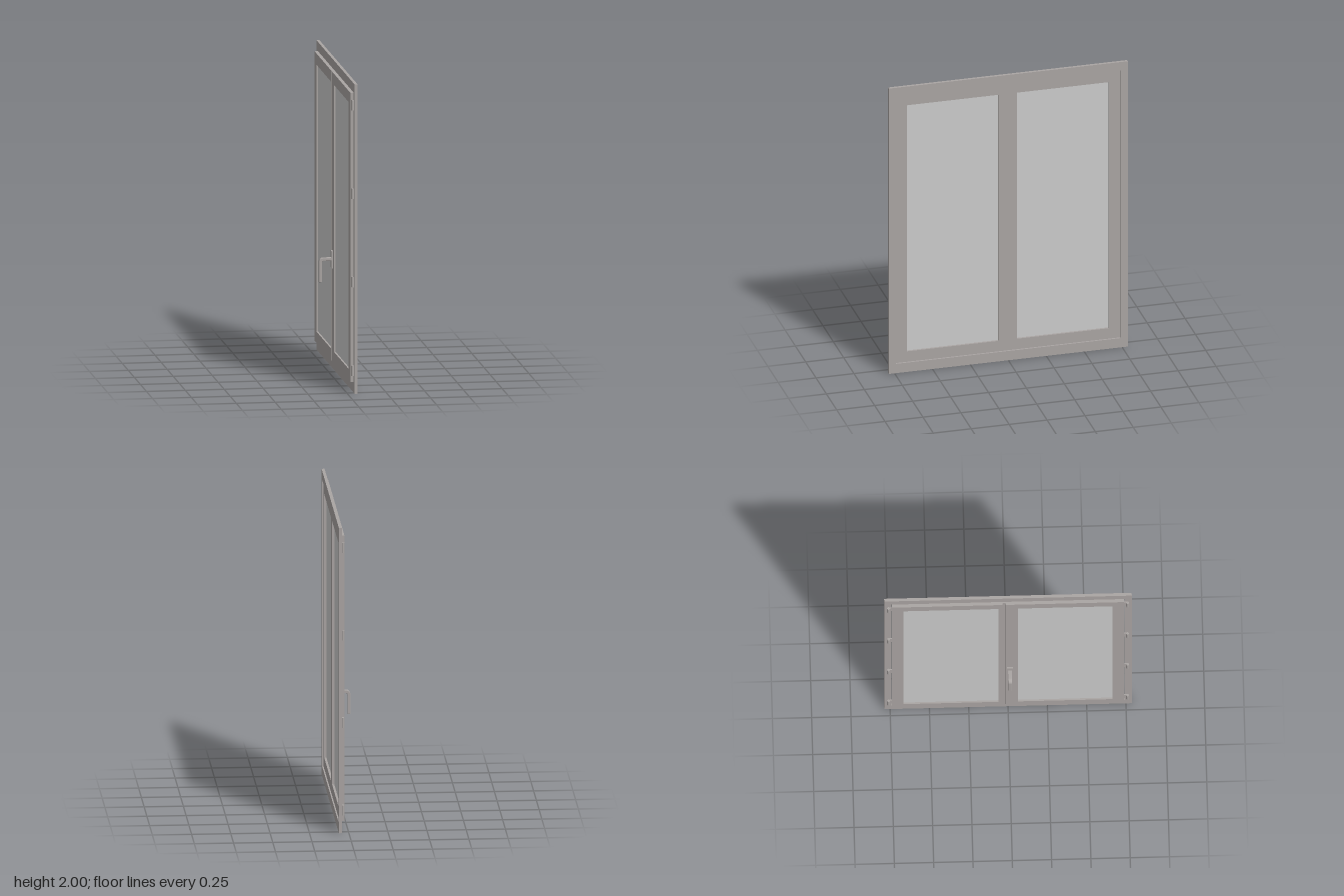
import * as THREE from 'three';

export function createModel() {
  const model = new THREE.Group();
  const frameMat = new THREE.MeshStandardMaterial({ color: 0xaaa5a3 });
  const glassMat = new THREE.MeshStandardMaterial({ color: 0xcccccc });

  function add(name, geometry, material = frameMat) {
    const mesh = new THREE.Mesh(geometry, material);
    mesh.name = name;
    model.add(mesh);
    return mesh;
  }

  // Box given by its limits on each axis
  function block(name, x0, x1, y0, y1, z0, z1, material) {
    const g = new THREE.BoxGeometry(x1 - x0, y1 - y0, z1 - z0);
    return add(name, g.translate((x0 + x1) / 2, (y0 + y1) / 2, (z0 + z1) / 2), material);
  }

  function trace(path, z0, z1, y0, y1) {
    path.moveTo(z0, y0).lineTo(z1, y0).lineTo(z1, y1).lineTo(z0, y1).closePath();
    return path;
  }

  // Rectangular ring in the zy plane, [z0, z1, y0, y1] outside and inside
  function ring(name, outer, inner, x0, x1) {
    const shape = trace(new THREE.Shape(), ...outer);
    shape.holes.push(trace(new THREE.Path(), ...inner));
    const g = new THREE.ExtrudeGeometry(shape, { depth: x1 - x0, bevelEnabled: false });
    return add(name, g.rotateY(-Math.PI / 2).translate(x1, 0, 0));
  }

  // Fixed outer frame
  ring('outerFrame', [-0.787, 0.787, 0, 2], [-0.74, 0.74, 0.065, 1.94], 0.045, 0.064);

  // Two sashes with their panes
  const glassY = [0.14, 1.865];
  ring('leftSash', [-0.018, 0.738, 0.067, 1.938], [0.063, 0.665, ...glassY], 0.025, 0.056);
  ring('rightSash', [-0.738, -0.035, 0.067, 1.938], [-0.665, -0.06, ...glassY], 0.025, 0.056);
  block('leftPane', 0.036, 0.042, ...glassY, 0.063, 0.665, glassMat);
  block('rightPane', 0.036, 0.042, ...glassY, -0.665, -0.06, glassMat);

  // Rebate strip closing the gap between the sashes
  block('meetingStrip', 0.037, 0.056, 0.067, 1.938, -0.035, -0.018);

  // Four hinges down each side
  for (const side of [-1, 1]) {
    for (const y of [0.145, 0.718, 1.29, 1.862]) {
      const barrel = new THREE.CylinderGeometry(0.009, 0.009, 0.066, 16);
      add('hingeBarrel', barrel.translate(0.036, y, side * 0.76));
      const z = [side * 0.736, side * 0.76].sort((a, b) => a - b);
      block('hingeLeaf', 0.039, 0.045, y - 0.028, y + 0.028, ...z);
    }
  }

  // Handle backplate
  block('handlePlate', 0.015, 0.025, 0.675, 0.785, -0.008, 0.03);

  // Handle lever: neck, rounded corner and grip
  const lever = new THREE.Shape();
  lever.moveTo(0.016, 0.74);
  lever.lineTo(-0.035, 0.74);
  lever.quadraticCurveTo(-0.063, 0.74, -0.063, 0.71);
  lever.lineTo(-0.063, 0.587);
  lever.lineTo(-0.049, 0.587);
  lever.lineTo(-0.049, 0.705);
  lever.quadraticCurveTo(-0.049, 0.724, -0.033, 0.724);
  lever.lineTo(0.016, 0.724);
  lever.closePath();
  const grip = new THREE.ExtrudeGeometry(lever, {
    depth: 0.019, bevelThickness: 0.003, bevelSize: 0.003,
    bevelSegments: 3, bevelOffset: -0.001, curveSegments: 10,
  });
  add('handleLever', grip.translate(0, 0, 0.0015));

  return model;
}
